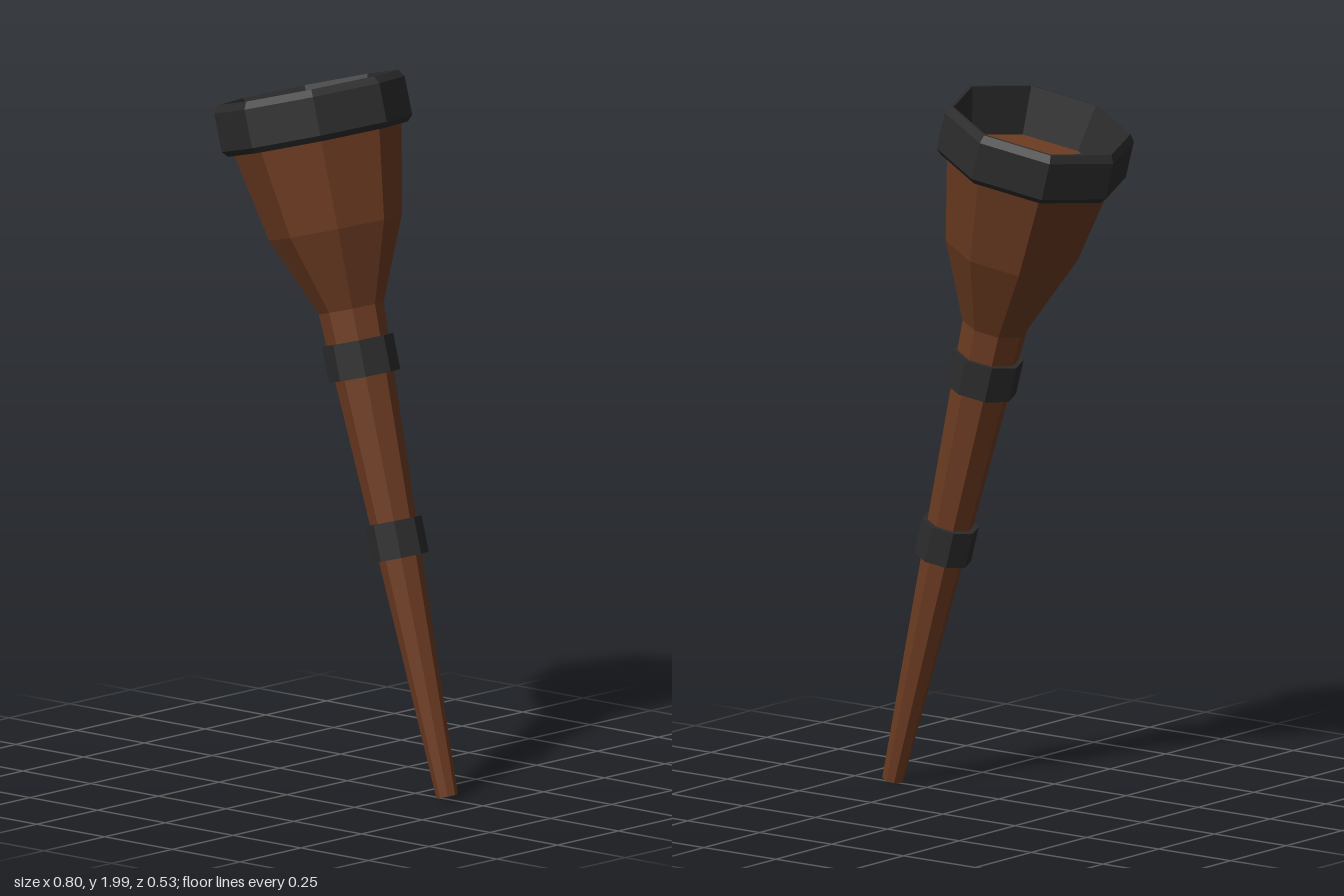
import * as THREE from 'three';

const wood = new THREE.MeshStandardMaterial({ color: 0x6d3c22, flatShading: true });
const iron = new THREE.MeshStandardMaterial({ color: 0x2c2c2c, flatShading: true });

// Eight-sided turned part from [radius, height] pairs, listed from bottom to top on the outside
function turned(name, profile, material) {
  const points = profile.map(([r, y]) => new THREE.Vector2(r, y));
  const mesh = new THREE.Mesh(new THREE.LatheGeometry(points, 8), material);
  mesh.name = name;
  return mesh;
}

export function createModel() {
  const model = new THREE.Group();
  model.name = 'torch';

  // Tapered handle flaring into a closed bowl
  model.add(turned('handleAndBowl', [
    [0, 0], [0.03, 0], [0.091, 1.369], [0.186, 1.594], [0.237, 1.855], [0, 1.855],
  ], wood));

  // Bevelled rim with a sloping inner wall
  model.add(turned('rim', [
    [0.225, 1.842], [0.252, 1.842], [0.267, 1.858], [0.267, 1.966],
    [0.254, 1.987], [0.246, 1.987], [0.212, 1.855],
  ], iron));

  // Bands around the handle
  const bands = [
    ['lowerBand', 0.08, 0.67, 0.773],
    ['upperBand', 0.1, 1.178, 1.28],
  ];
  for (const [name, r, y0, y1] of bands) {
    model.add(turned(name, [[0.03, y0], [r, y0], [r, y1], [0.03, y1]], iron));
  }

  // Lean the whole torch sideways
  model.rotation.z = THREE.MathUtils.degToRad(15);
  model.position.set(0.368, 0.008, 0);

  const root = new THREE.Group();
  root.add(model);
  return root;
}
